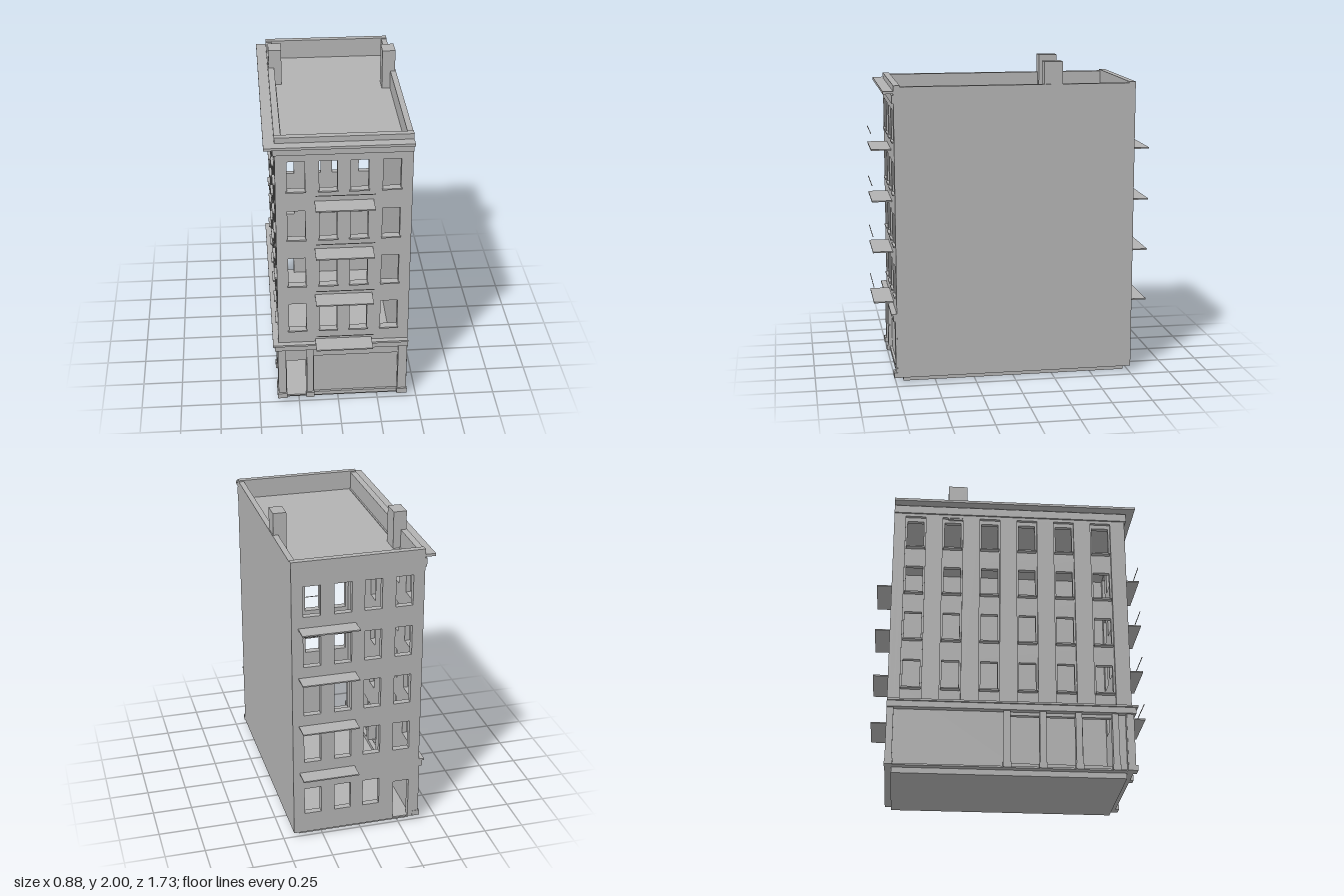
import * as THREE from 'three';

export function createModel() {
  const building = new THREE.Group();
  building.name = 'cornerBuilding';
  const stone = new THREE.MeshStandardMaterial({ color: 0xb2b2b2 });
  stone.name = 'grey stone';

  const add = (name, geometry) => {
    const mesh = new THREE.Mesh(geometry, stone);
    mesh.name = name;
    building.add(mesh);
    return mesh;
  };
  // Box given by its limits on each axis
  const box = (name, x0, x1, y0, y1, z0, z1) => {
    const g = new THREE.BoxGeometry(x1 - x0, y1 - y0, z1 - z0);
    g.translate((x0 + x1) / 2, (y0 + y1) / 2, (z0 + z1) / 2);
    return add(name, g);
  };
  const trace = (path, [a, b, c, d]) => {
    path.moveTo(a, c);
    path.lineTo(b, c);
    path.lineTo(b, d);
    path.lineTo(a, d);
    path.closePath();
    return path;
  };
  // Flat wall with rectangular openings, each [u0, u1, y0, y1]
  const wall = (name, outline, openings, depth) => {
    const shape = trace(new THREE.Shape(), outline);
    openings.forEach((o) => shape.holes.push(trace(new THREE.Path(), o)));
    return add(name, new THREE.ExtrudeGeometry(shape, { depth, bevelEnabled: false }));
  };

  const rows = [0.54, 0.867, 1.193, 1.52];
  const columns = [-0.253, -0.063, 0.122, 0.312];
  const upper = [];
  for (const y of rows) for (const x of columns) upper.push([x - 0.053, x + 0.053, y, y + 0.193]);

  // Front wall with entrance and recessed shop panel
  const shop = [-0.155, 0.375, 0.06, 0.34];
  wall('frontWall', [-0.375, 0.435, 0.04, 1.87],
    [...upper, [-0.33, -0.205, 0.045, 0.31], shop], 0.04).position.z = 0.7;
  box('shopPanel', -0.16, 0.38, 0.05, 0.35, 0.7, 0.725);
  for (const [x0, x1] of [[-0.38, -0.33], [-0.2, -0.158], [0.377, 0.433]]) {
    box('frontPilaster', x0, x1, 0.04, 0.4, 0.74, 0.75);
    box('frontPilasterBase', x0 - 0.005, x1 + 0.005, 0.035, 0.07, 0.74, 0.762);
  }

  // Back wall with an extra ground row and a back door
  const ground = columns.slice(1).map((x) => [x - 0.053, x + 0.053, 0.17, 0.35]);
  wall('backWall', [-0.375, 0.435, 0.04, 1.87],
    [...upper, ...ground, [-0.31, -0.21, 0.045, 0.31]], 0.04).position.z = -0.76;

  // Blank party wall
  box('partyWall', 0.4, 0.435, 0.04, 1.862, -0.72, 0.7);

  // Long street wall, set back between its piers
  const bays = Array.from({ length: 6 }, (_, i) => -0.62 + i * 0.24);
  const streetOpenings = [];
  for (const y of rows) for (const z of bays) streetOpenings.push([z - 0.053, z + 0.053, y, y + 0.193]);
  for (const z of [0.08, 0.3, 0.525]) streetOpenings.push([z - 0.09, z + 0.09, 0.07, 0.38]);
  const street = wall('streetWall', [-0.72, 0.7, 0.04, 1.75], streetOpenings, 0.03);
  street.rotation.y = -Math.PI / 2;
  street.position.x = -0.325;
  box('streetParapet', -0.375, -0.335, 1.74, 1.862, -0.72, 0.7);

  // Piers between the upper bays
  const edges = [-0.72, ...bays.flatMap((z) => [z - 0.065, z + 0.065]), 0.7];
  for (let i = 0; i < edges.length; i += 2) {
    box('streetPier', -0.375, -0.354, 0.45, 1.74, edges[i], edges[i + 1]);
  }
  // Ground floor pillars on the street side
  for (const z of [-0.738, -0.03, 0.19, 0.41, 0.635, 0.725]) {
    box('streetPillar', -0.38, -0.34, 0.04, 0.4, z - 0.02, z + 0.02);
    box('streetPillarBase', -0.387, -0.34, 0.035, 0.07, z - 0.025, z + 0.025);
  }

  // Window sills
  for (const y of rows) {
    for (const x of columns) box('frontSill', x - 0.06, x + 0.06, y - 0.009, y, 0.7, 0.75);
    for (const z of bays) box('streetSill', -0.387, -0.33, y - 0.009, y, z - 0.06, z + 0.06);
  }

  // Bands wrapping the front and the street side
  const band = (name, y0, y1, out) => {
    box(name, -0.375, 0.435, y0, y1, 0.73, 0.74 + out);
    box(name, -0.375 - out, -0.35, y0, y1, -0.76, 0.74 + out);
  };
  band('shopFascia', 0.4, 0.44, 0.022);
  band('shopCornice', 0.438, 0.45, 0.034);
  band('frieze', 1.76, 1.812, 0.011);
  band('cornice', 1.82, 1.836, 0.064);

  // Roof, floor and plinth
  box('roof', -0.345, 0.41, 1.72, 1.745, -0.73, 0.71);
  box('floor', -0.375, 0.435, 0.035, 0.045, -0.76, 0.74);
  box('plinth', -0.33, 0.39, 0, 0.04, -0.72, 0.7);

  // Chimneys
  box('leftChimney', -0.37, -0.288, 1.73, 1.98, -0.41, -0.29);
  box('rightChimney', 0.348, 0.43, 1.73, 2, -0.3, -0.185);

  // Balcony slabs on both ends, thin rails at the front
  for (const y of [0.465, 0.793, 1.12, 1.446]) {
    box('frontBalcony', -0.145, 0.205, y - 0.004, y + 0.004, 0.74, 0.865);
    box('balconyRail', -0.145, 0.205, y + 0.102, y + 0.106, 0.861, 0.865);
    box('backBalcony', 0.045, 0.395, y - 0.004, y + 0.004, -0.865, -0.76);
  }
  return building;
}
